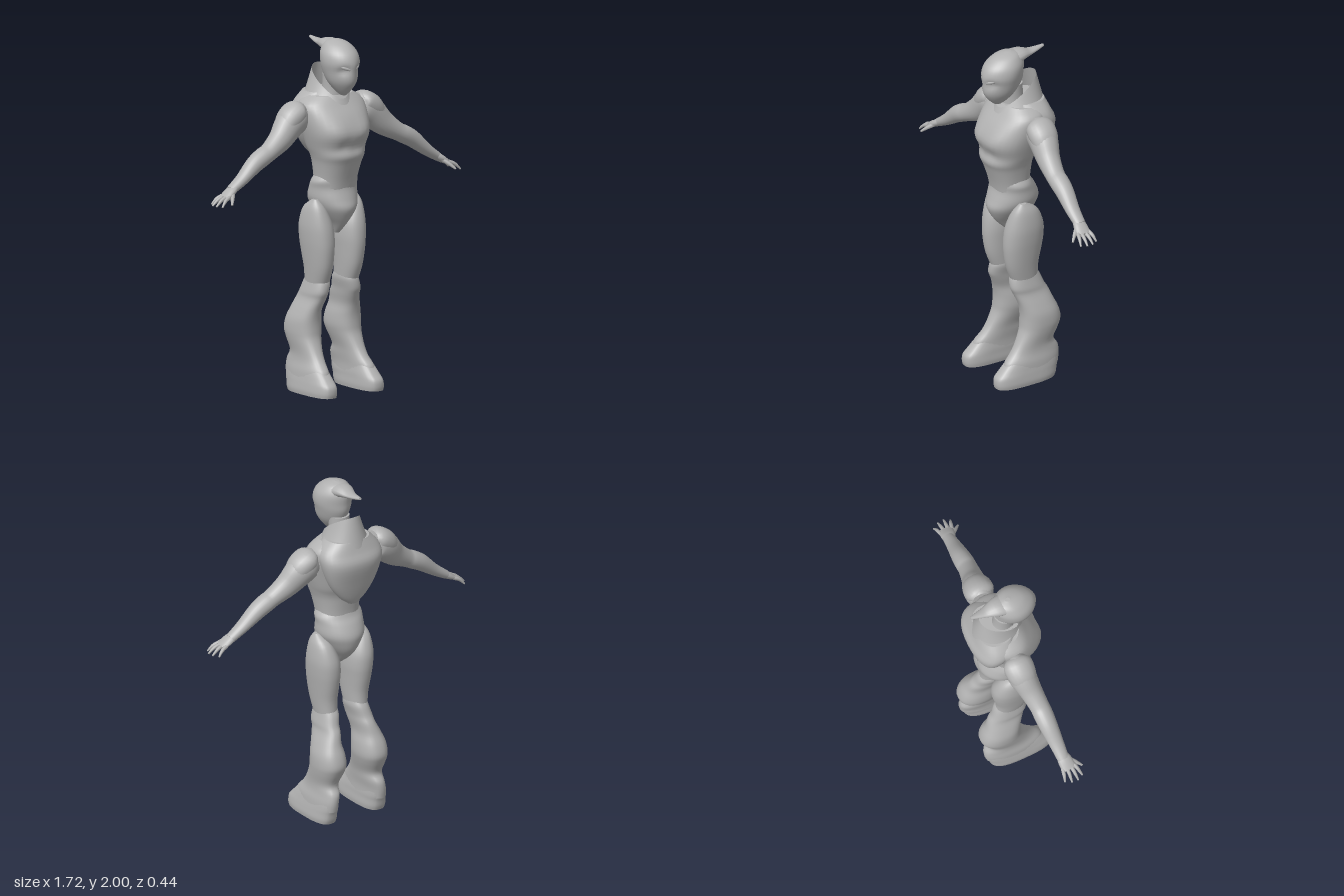
import * as THREE from 'three';

const V = (x, y, z) => new THREE.Vector3(x, y, z);

// Smooth in-between rows of a table (Catmull-Rom on every column)
function smoothRows(rows, steps) {
  const out = [], last = rows.length - 1;
  for (let i = 0; i < last; i++) {
    const [a, b, c, d] = [rows[Math.max(i - 1, 0)], rows[i], rows[i + 1], rows[Math.min(i + 2, last)]];
    for (let s = 0; s < steps; s++) {
      const t = s / steps;
      out.push(b.map((_, k) => {
        const m0 = (c[k] - a[k]) / 2, m1 = (d[k] - b[k]) / 2, e = c[k] - b[k];
        return b[k] + m0 * t + (3 * e - 2 * m0 - m1) * t * t + (m0 + m1 - 2 * e) * t * t * t;
      }));
    }
  }
  out.push(rows[last]);
  return out;
}

// Skin a list of rings, closing both ends unless open
function skin(rings, open = false) {
  const n = rings[0].length, pos = [], idx = [];
  rings.forEach(r => r.forEach(p => pos.push(p.x, p.y, p.z)));
  for (let j = 0; j < rings.length - 1; j++) {
    for (let i = 0; i < n; i++) {
      const a = j * n + i, b = j * n + (i + 1) % n;
      idx.push(a, a + n, b, b, a + n, b + n);
    }
  }
  const cap = (ring, flip) => {
    const base = pos.length / 3;
    const mid = ring.reduce((s, p) => s.add(p), V(0, 0, 0)).divideScalar(n);
    [...ring, mid].forEach(p => pos.push(p.x, p.y, p.z));
    for (let i = 0; i < n; i++) {
      const a = base + i, b = base + (i + 1) % n;
      idx.push(base + n, flip ? b : a, flip ? a : b);
    }
  };
  if (!open) { cap(rings[0], false); cap(rings[rings.length - 1], true); }
  const g = new THREE.BufferGeometry();
  g.setAttribute('position', new THREE.Float32BufferAttribute(pos, 3));
  g.setIndex(idx);
  g.computeVertexNormals();
  return g;
}

// Upright body: rows of [y, centre x, half width, front z, back z], rising
function stack(rows, { n = 2, sides = 32, steps = 4, deform } = {}) {
  const p = (c) => Math.sign(c) * Math.abs(c) ** (2 / n);
  return skin(smoothRows(rows, steps).map(([y, cx, hw, zf, zb]) =>
    Array.from({ length: sides }, (_, i) => {
      const a = i / sides * Math.PI * 2;
      const v = V(cx + hw * p(Math.cos(a)), y, (zf + zb) / 2 + (zf - zb) / 2 * p(Math.sin(a)));
      if (deform) deform(v);
      return v;
    })));
}

// Limb along a path: rows of [x, y, z, radius across, radius along ref]
function limb(rows, { ref = V(0, 0, 1), sides = 16, steps = 4 } = {}) {
  const r = smoothRows(rows, steps), pt = (i) => V(r[i][0], r[i][1], r[i][2]);
  return skin(r.map((row, j) => {
    const t = pt(Math.min(j + 1, r.length - 1)).sub(pt(Math.max(j - 1, 0))).normalize();
    const u = t.clone().cross(ref).normalize(), v = u.clone().cross(t);
    return Array.from({ length: sides }, (_, i) => {
      const a = i / sides * Math.PI * 2;
      return pt(j).addScaledVector(u, row[3] * Math.cos(a)).addScaledVector(v, row[4] * Math.sin(a));
    });
  }));
}

function mirrored(geometry) {
  const g = geometry.clone().scale(-1, 1, 1), ix = g.index.array;
  for (let i = 0; i < ix.length; i += 3) [ix[i], ix[i + 1]] = [ix[i + 1], ix[i]];
  g.computeVertexNormals();
  return g;
}

export function createModel() {
  const model = new THREE.Group();
  const grey = new THREE.MeshStandardMaterial({ color: 0xb2b2b2, side: THREE.DoubleSide });
  grey.name = 'plain grey';
  const add = (name, g) => {
    const m = new THREE.Mesh(g, grey);
    m.name = name;
    model.add(m);
  };
  const pair = (name, g) => { add('left' + name, g); add('right' + name, mirrored(g)); };
  const bump = (v, x, y, r) => Math.exp(-((Math.abs(v.x) - x) ** 2 + (v.y - y) ** 2) / (r * r));

  // Head with a pointed mask, sunken eyes and a swept-back crest
  add('head', stack([
    [1.69, 0, .012, .12, .075], [1.72, 0, .042, .155, .03], [1.77, 0, .075, .19, -.02],
    [1.83, 0, .094, .198, -.05], [1.88, 0, .105, .2, -.055], [1.93, 0, .1, .18, -.058],
    [1.97, 0, .075, .135, -.045], [1.99, 0, .047, .09, -.025], [2, 0, .012, .045, .015],
  ], { n: 1.85, deform: v => {
    if (v.z > .07) v.z -= .018 * bump(v, .05, 1.84, .025);
  } }));
  pair('Brow', limb([[.01, 1.845, .188, .008, .008], [.05, 1.862, .166, .011, .01],
    [.09, 1.89, .1, .008, .008]], { sides: 10 }));
  add('crest', limb([[0, 1.95, .03, .04, .07], [0, 1.962, -.04, .035, .058],
    [0, 1.96, -.1, .018, .036], [0, 1.965, -.15, .013, .022], [0, 1.974, -.198, .008, .009]],
  { ref: V(1, 0, 0) }));
  add('neck', stack([[1.6, 0, .075, .07, -.09], [1.7, 0, .058, .065, -.06], [1.8, 0, .06, .07, -.05]]));

  // Trunk with chest muscles
  add('torso', stack([
    [1.1, 0, .12, .12, -.1], [1.2, 0, .12, .138, -.082], [1.3, 0, .134, .17, -.09],
    [1.35, 0, .148, .19, -.1], [1.4, 0, .165, .184, -.12], [1.48, 0, .188, .2, -.14],
    [1.57, 0, .203, .163, -.16], [1.64, 0, .198, .11, -.15], [1.685, 0, .14, .075, -.13],
  ], { n: 2.3, deform: v => {
    if (v.z > .05) v.z += .012 * bump(v, .09, 1.5, .06) - .008 * bump(v, .05, 1.41, .03);
  } }));
  add('pelvis', stack([
    [.9, 0, .022, .06, -.01], [.95, 0, .046, .11, -.075], [1, 0, .083, .145, -.118],
    [1.05, 0, .115, .164, -.138], [1.1, 0, .137, .15, -.143], [1.16, 0, .138, .132, -.118],
    [1.2, 0, .14, .132, -.092], [1.23, 0, .122, .136, -.08],
  ]));

  // Back shell narrowing to a low point
  add('backShell', stack([
    [1.31, 0, .03, -.09, -.145], [1.36, 0, .09, -.07, -.165], [1.45, 0, .15, -.04, -.19],
    [1.57, 0, .19, 0, -.216], [1.64, 0, .185, .03, -.19], [1.7, 0, .13, .04, -.168],
  ], { n: 2.4 }));

  // Open collar, low in front and high behind
  const collar = [];
  for (let j = 0; j <= 8; j++) {
    const t = j / 8, hw = .178 - .09 * t ** .7, zf = .125 - .025 * t, zb = -.195 + .055 * t;
    collar.push(Array.from({ length: 40 }, (_, i) => {
      const a = i / 40 * Math.PI * 2, s = Math.sin(a);
      const rim = 1.765 - .085 * s - .012 * s * s;
      return V(hw * Math.cos(a), 1.61 + (rim - 1.61) * t, (zf + zb) / 2 + (zf - zb) / 2 * s);
    }));
  }
  add('collar', skin(collar, true));

  // Arms
  pair('Arm', limb([
    [.195, 1.585, -.03, .072, .06], [.235, 1.575, -.025, .09, .08], [.29, 1.535, -.02, .086, .08],
    [.36, 1.468, -.005, .07, .066], [.45, 1.41, .008, .052, .056], [.5, 1.385, .01, .052, .056],
    [.56, 1.35, .012, .048, .052], [.65, 1.28, .018, .034, .042], [.73, 1.228, .02, .025, .034],
  ], { sides: 24 }));
  pair('ShoulderCap', limb([[.205, 1.62, -.025, .035, .055], [.235, 1.61, -.025, .06, .083],
    [.29, 1.565, -.02, .068, .082], [.34, 1.51, -.01, .045, .06]], { sides: 20 }));
  pair('Palm', limb([[.71, 1.24, .02, .022, .034], [.745, 1.218, .026, .022, .042],
    [.79, 1.192, .03, .013, .042]]));
  [[-.004, -.02, .835], [.02, .015, .855], [.044, .052, .857], [.064, .085, .84]].forEach(([z0, z1, x], k) => {
    pair('Finger' + (k + 1), limb([[.775, 1.2, z0, .012, .012],
      [(x + .78) / 2, 1.185, (z0 + z1) / 2, .01, .01], [x, 1.155, z1, .005, .005]], { sides: 8 }));
  });
  pair('Thumb', limb([[.735, 1.22, .045, .014, .014], [.765, 1.192, .08, .011, .011],
    [.79, 1.165, .108, .006, .006]], { sides: 8 }));

  // Legs
  pair('Thigh', stack([
    [.6, .102, .052, .07, -.09], [.7, .105, .062, .108, -.09], [.8, .108, .072, .124, -.108],
    [.88, .11, .079, .124, -.118], [.96, .116, .076, .112, -.112], [1.05, .13, .05, .082, -.07],
    [1.1, .14, .015, .045, .005],
  ], { n: 2.2 }));
  pair('Boot', stack([
    [.08, .162, .064, .16, -.185], [.13, .16, .062, .155, -.192], [.18, .152, .06, .11, -.188],
    [.23, .148, .063, .075, -.162], [.3, .143, .078, .042, -.192], [.35, .14, .085, .034, -.208],
    [.41, .139, .081, .034, -.195], [.47, .134, .065, .046, -.168], [.53, .118, .056, .07, -.145],
    [.57, .113, .056, .086, -.122], [.62, .102, .056, .084, -.103], [.65, .1, .052, .07, -.085],
  ], { n: 2.3 }));
  pair('Foot', stack([
    [0, .165, .067, .218, -.155], [.025, .165, .07, .223, -.165], [.06, .164, .067, .218, -.172],
    [.09, .162, .064, .19, -.18], [.13, .16, .058, .15, -.18], [.18, .153, .05, .1, -.16],
  ], { n: 2.8 }));
  return model;
}
